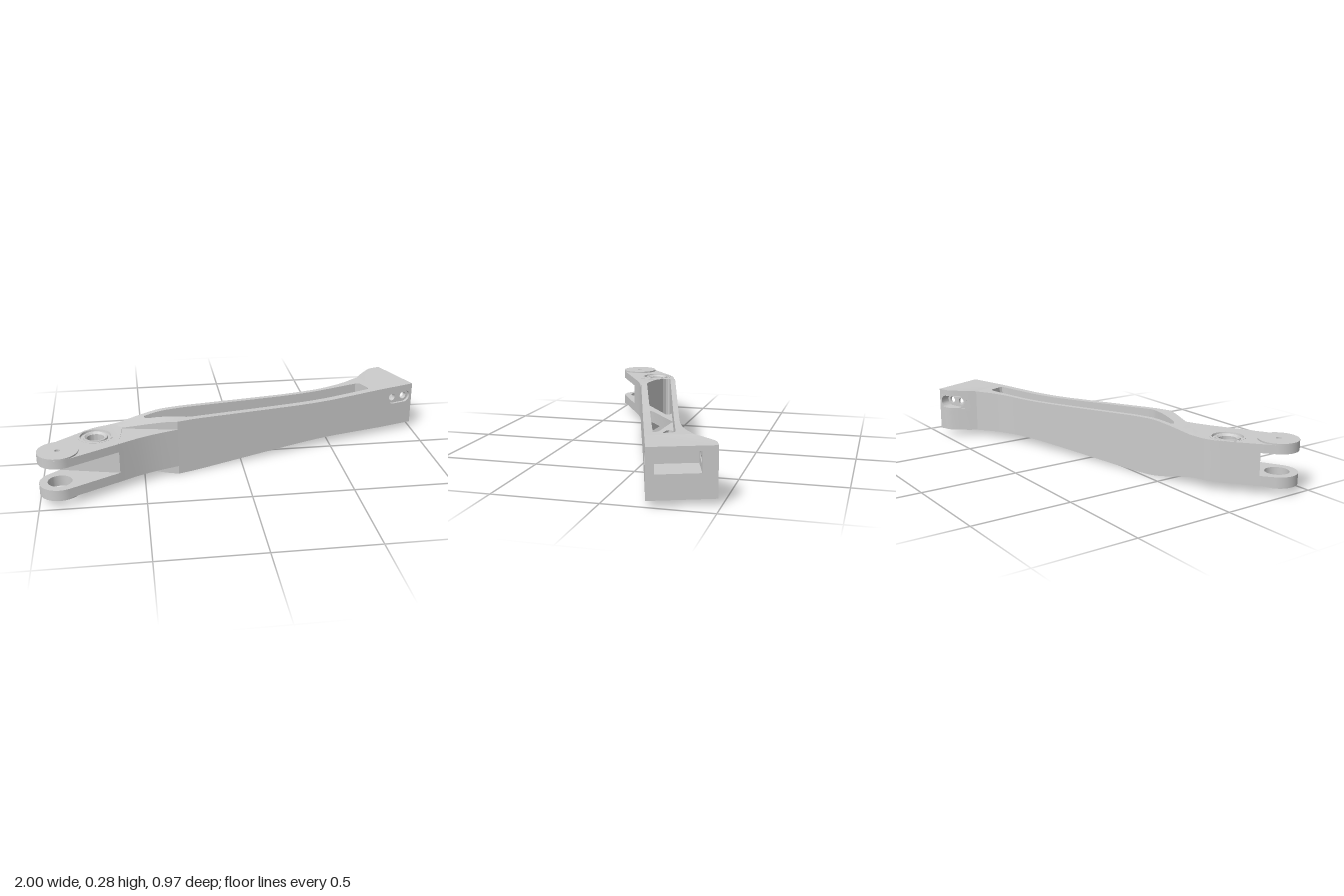
import * as THREE from 'three';
import { toCreasedNormals } from 'three/addons/utils/BufferGeometryUtils.js';

const material = new THREE.MeshStandardMaterial({ color: 0xcccccc });
const MID = 0.1425; // height of the horizontal symmetry plane

// Linear interpolation in a list of [input, output] pairs
function lookup(list, v) {
  const i = Math.max(1, list.findIndex((p) => p[0] >= v));
  const [a, b] = [list[i - 1], list[i]];
  return a[1] + (b[1] - a[1]) * (v - a[0]) / (b[0] - a[0]);
}

// Half height of the arm along its slanted axis
const PROFILE = [[-3, 0.1], [-0.72, 0.1], [-0.65, 0.105], [-0.54, 0.126], [-0.46, 0.139], [-0.406, 0.1425],
  [-0.3, 0.141], [0.1, 0.12], [0.3, 0.11], [0.42, 0.106], [0.53, 0.105], [0.7, 0.109], [0.9, 0.114], [3, 0.12]];
const half = (x, z) => lookup(PROFILE, x - 0.36 * z);
const top = (x, z) => MID + half(x, z);
const bottom = (x, z) => MID - half(x, z);

function arc(cx, cy, r, from = 0, to = Math.PI * 2, n = 36) {
  const full = to - from > 6.28;
  return Array.from({ length: full ? n : n + 1 }, (_, i) => {
    const t = from + (to - from) * i / n;
    return [cx + r * Math.cos(t), cy + r * Math.sin(t)];
  });
}

function mesh(name, geometry) {
  const m = new THREE.Mesh(toCreasedNormals(geometry, 0.4), material);
  m.name = name;
  return m;
}

// Unit-depth extrusion; every loop is turned counter-clockwise so hole walls face inward
function extrude(outline, holes) {
  const loop = (points) => {
    const v = points.map((p) => new THREE.Vector2(...p));
    return THREE.ShapeUtils.isClockWise(v) ? v.reverse() : v;
  };
  const shape = new THREE.Shape(loop(outline));
  holes.forEach((h) => shape.holes.push(new THREE.Path(loop(h))));
  return new THREE.ExtrudeGeometry(shape, { depth: 1, bevelEnabled: false });
}

// Upright prism from a plan outline of [x, z]; lo and hi are heights or functions of x, z
function prism(name, outline, lo, hi, holes = []) {
  const flip = (points) => points.map(([x, z]) => [x, -z]);
  const g = extrude(flip(outline), holes.map(flip)).rotateX(-Math.PI / 2);
  const p = g.attributes.position;
  const at = (f, x, z) => (typeof f === 'function' ? f(x, z) : f);
  for (let i = 0; i < p.count; i++) {
    const a = at(lo, p.getX(i), p.getZ(i)), b = at(hi, p.getX(i), p.getZ(i));
    p.setY(i, a + (b - a) * p.getY(i));
  }
  return mesh(name, g);
}

// Long rail lofted through stations [backX, backZ, frontX, frontZ]
function rail(name, stations) {
  const fine = stations.flatMap((s, i) => {
    const t = stations[i + 1];
    if (!t) return [s];
    const n = Math.ceil(Math.max(Math.hypot(t[0] - s[0], t[1] - s[1]), Math.hypot(t[2] - s[2], t[3] - s[3])) / 0.04);
    return Array.from({ length: n }, (_, k) => s.map((v, j) => v + (t[j] - v) * k / n));
  });
  const positions = [], index = [];
  fine.forEach(([ax, az, bx, bz], i) => {
    positions.push(ax, top(ax, az), az, bx, top(bx, bz), bz, bx, bottom(bx, bz), bz, ax, bottom(ax, az), az);
    for (let k = 0; k < 4 && i < fine.length - 1; k++) {
      const a = i * 4 + k, b = i * 4 + (k + 1) % 4;
      index.push(a, b, b + 4, a, b + 4, a + 4);
    }
  });
  const g = new THREE.BufferGeometry();
  g.setAttribute('position', new THREE.Float32BufferAttribute(positions, 3));
  g.setIndex(index);
  return mesh(name, g);
}

// End block plan coordinates: u inward from the end face, w from front to back
const end = ([u, w]) => [1 - 0.955 * u - 0.362 * w, -0.2 + 0.297 * u - 0.932 * w];
const BACK_CURVE = [[0, 0.304], [0.045, 0.304], [0.065, 0.303], [0.085, 0.295], [0.12, 0.274], [0.17, 0.243], [0.21, 0.215]];

// Upright wall in the end block from depth w0 to w1 (a number or a function of u)
function endPlate(name, outline, w0, w1, holes) {
  const g = extrude(outline, holes);
  const p = g.attributes.position;
  for (let i = 0; i < p.count; i++) {
    const outer = typeof w1 === 'function' ? w1(p.getX(i)) : w1;
    p.setZ(i, p.getZ(i) > 0.5 ? outer : w0);
  }
  g.applyMatrix4(new THREE.Matrix4().makeBasis(
    new THREE.Vector3(-0.955, 0, 0.297), new THREE.Vector3(0, 1, 0), new THREE.Vector3(-0.362, 0, -0.932),
  ).setPosition(1, 0, -0.2));
  return mesh(name, g);
}

function makeBody() {
  const g = new THREE.Group();
  g.name = 'armBody';
  g.add(prism('pivotHead', [[-0.91, 0.267], [-0.78, 0.16], [-0.745, 0.135], [-0.715, 0.12], [-0.68, 0.11],
    [-0.64, 0.0988], [-0.62, 0.13], [-0.6, 0.16], [-0.62, 0.34]], bottom, top, [arc(-0.73, 0.23, 0.078)]));
  g.add(rail('backRail', [[-0.64, 0.0988, -0.62, 0.13], [-0.56, 0.0763, -0.49, 0.097], [-0.5, 0.0595, -0.485, 0.086],
    [-0.47, 0.0511, -0.46, 0.077], [0.45, -0.207, 0.45, -0.181], [0.52, -0.229, 0.52, -0.201],
    [0.58, -0.253, 0.58, -0.218], [0.64, -0.284, 0.64, -0.235], [0.69, -0.318, 0.69, -0.249],
    [...end([0.21, 0.215]), 0.715, -0.243], [0.787, -0.17, 0.74, -0.178]]));
  g.add(rail('frontRail', [[-0.62, 0.13, -0.6, 0.16], [-0.49, 0.097, -0.49, 0.181], [-0.485, 0.108, -0.47, 0.185],
    [-0.47, 0.12, -0.45, 0.189], [-0.28, 0.155, -0.33, 0.212], [-0.25, 0.153, -0.25, 0.187],
    [0.725, -0.155, 0.725, -0.115], [0.738, -0.163, ...end([0.21, 0])], [0.74, -0.178, 0.787, -0.17]]));
  // Lower flat beside the fork
  g.add(prism('frontFlat', [[-0.6, 0.16], [-0.33, 0.212], [-0.4, 0.235], [-0.46, 0.257], [-0.53, 0.289],
    [-0.62, 0.34]], MID - 0.1, MID + 0.1));
  // Diagonal braces deep inside the long pocket
  const braces = [
    [[-0.03, -0.055], [-0.02, -0.045], [0, -0.038], [0, -0.02], [-0.22, 0.14], [-0.26, 0.16], [-0.03, 0.09],
      [-0.055, 0.09], [-0.06, 0.075], [-0.04, 0.055], [0.16, -0.1], [0.2, -0.12]],
    [[0.14, -0.1], [0.16, -0.1], [0.37, -0.087], [0.4, -0.075], [0.395, -0.055], [0.37, -0.04], [0.54, -0.094],
      [0.55, -0.1], [0.36, -0.117], [0.34, -0.125], [0.345, -0.14], [0.37, -0.165]],
    [[0.53, -0.09], [0.54, -0.1], [0.58, -0.108], [0.67, -0.2], [0.68, -0.225], [0.66, -0.245], [0.7, -0.253],
      [0.745, -0.175], [0.725, -0.15]],
  ];
  braces.forEach((b) => g.add(prism('brace', b, MID - 0.03, MID + 0.03)));
  return g;
}

function makeFork() {
  const g = new THREE.Group();
  g.name = 'fork';
  const cx = -0.903, cz = 0.387, r = 0.097;
  const outline = [[-0.62, 0.34], ...arc(cx, cz, r, 1.06, 3.96, 24), [-0.91, 0.267]];
  // Upper prong has a pin hole, lower prong a wide bore
  [[0.2, MID + 0.1, 0.25, 0.013], [0.09, MID - 0.1, 0.036, 0.058]].forEach(([inner, outer, cap, hole]) => {
    const bore = [arc(cx, cz, hole)];
    g.add(prism('prong', outline, Math.min(inner, outer), Math.max(inner, outer), bore));
    g.add(prism('prongPad', arc(cx, cz, r), Math.min(cap, outer), Math.max(cap, outer), bore));
  });
  return g;
}

function makeBushing() {
  const upper = [[0.078, 0.098], [0.086, 0.098], [0.086, 0.101], [0.075, 0.101], [0.073, 0.09], [0.061, 0.09],
    [0.059, 0.099], [0.052, 0.099], [0.042, 0.09]];
  const lower = upper.map(([r, y]) => [r, -y]).reverse();
  const points = [...lower, ...upper, lower[0]].map((p) => new THREE.Vector2(...p));
  const b = mesh('pivotBushing', new THREE.LatheGeometry(points, 40));
  b.position.set(-0.73, MID, 0.23);
  return b;
}

function makeEndBlock() {
  const g = new THREE.Group();
  g.name = 'endBlock';
  const solid = [[0, 0], [0.21, 0], ...BACK_CURVE.toReversed()];
  const channel = [...solid, [0, 0.236], [0.16, 0.236], [0.16, 0.037], [0, 0.037]];
  const layer = (name, plan, lo, hi) => g.add(prism(name, plan.map(end), lo, hi));
  layer('blockBase', solid, bottom, 0.14);
  layer('blockTop', solid, 0.235, top);
  layer('pocketLowerRim', channel, 0.14, 0.155);
  layer('pocketUpperRim', channel, 0.225, 0.235);
  layer('pocketFloor', [[0.16, 0], [0.21, 0], [0.21, 0.215], [0.17, 0.243], [0.16, 0.249]], 0.155, 0.225);
  // Bolt walls: two holes behind an oval recess, front and back
  const y = 0.19, u1 = 0.047, u2 = 0.118, length = 0.16;
  const us = [0, 0.03, 0.045, 0.065, 0.085, 0.1, 0.12, 0.14, length];
  const edge = (sign) => us.map((u) => [u, y + sign * (0.035 + 0.1 * u * (length - u))]);
  const wall = [...edge(-1), ...edge(1).reverse()];
  const bolts = [u1, u2].map((u) => arc(u, y, 0.019, 0, Math.PI * 2, 24));
  const oval = [[...arc(u1, y, 0.033, Math.PI / 2, Math.PI * 1.5, 14), ...arc(u2, y, 0.033, -Math.PI / 2, Math.PI / 2, 14)]];
  g.add(endPlate('frontRecess', wall, 0, 0.014, oval));
  g.add(endPlate('frontBoltWall', wall, 0.014, 0.037, bolts));
  g.add(endPlate('backBoltWall', wall, 0.236, 0.249, bolts));
  g.add(endPlate('backRecess', wall, 0.249, (u) => lookup(BACK_CURVE, u), oval));
  return g;
}

export function createModel() {
  const model = new THREE.Group();
  model.name = 'linkArm';
  model.add(makeBody(), makeFork(), makeBushing(), makeEndBlock());
  return model;
}
